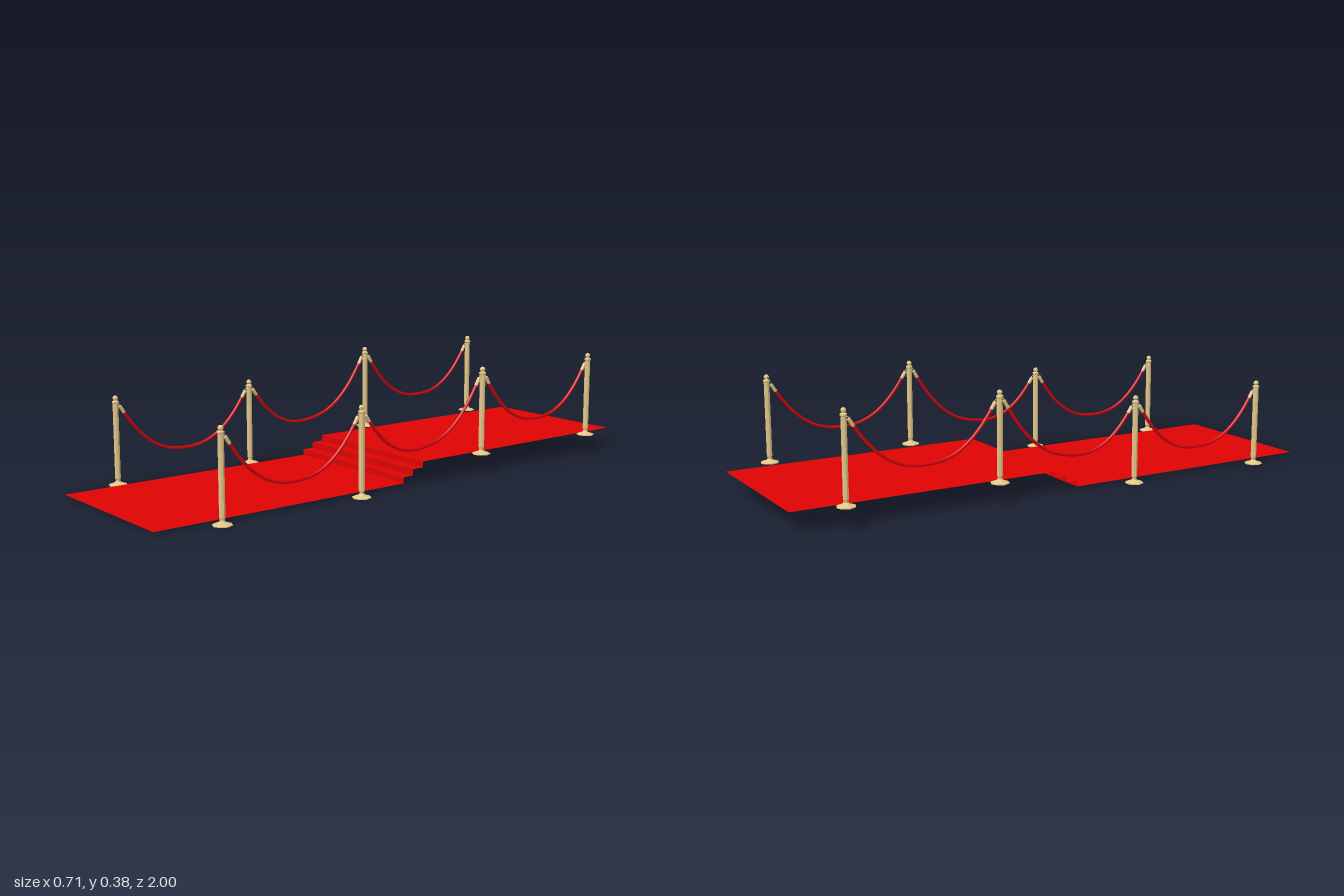
import * as THREE from 'three';

const brass = new THREE.MeshStandardMaterial({ color: 0xe2c688 });
brass.name = 'brass';
const carpetRed = new THREE.MeshStandardMaterial({ color: 0xde0303, side: THREE.DoubleSide });
carpetRed.name = 'carpet red';
const ropeRed = new THREE.MeshStandardMaterial({ color: 0xd8040c });
ropeRed.name = 'rope red';

const LOW = 0, HIGH = 0.073;
const POSTS = [[0.785, LOW], [0.247, LOW], [-0.29, HIGH], [-0.83, HIGH]]; // z, floor height
const POST_X = 0.325;
const CAP = 0.03; // share of a rope covered by each brass cap

function add(parent, name, geometry, material) {
  const mesh = new THREE.Mesh(geometry, material);
  mesh.name = name;
  parent.add(mesh);
  return mesh;
}

// Thin carpet sheet: stepped profile in z/y swept across x
function carpetGeometry() {
  const profile = [
    [1, 0.008], [0.034, 0.008], [0.034, 0.029], [-0.009, 0.029],
    [-0.009, 0.051], [-0.053, 0.051], [-0.053, 0.072], [-1, 0.072],
  ];
  const positions = [];
  for (let i = 0; i < profile.length - 1; i++) {
    const [z0, y0] = profile[i], [z1, y1] = profile[i + 1];
    const a = [-0.288, y0, z0], b = [0.286, y0, z0];
    const c = [0.286, y1, z1], d = [-0.288, y1, z1];
    positions.push(...a, ...b, ...c, ...a, ...c, ...d);
  }
  const geometry = new THREE.BufferGeometry();
  geometry.setAttribute('position', new THREE.Float32BufferAttribute(positions, 3));
  geometry.computeVertexNormals();
  return geometry;
}

// Turned post: flared foot, pole, collars and ball finial
function postGeometry() {
  const profile = [
    [0, 0], [0.032, 0], [0.032, 0.003], [0.012, 0.010], [0.008, 0.014],
    [0.008, 0.020], [0.010, 0.024], [0.010, 0.282],
    [0.012, 0.284], [0.012, 0.289], [0.008, 0.291], [0.006, 0.293],
    [0.009, 0.297], [0.009, 0.302], [0.006, 0.307], [0, 0.309],
  ].map(([r, y]) => new THREE.Vector2(r, y));
  const geometry = new THREE.LatheGeometry(profile, 8).toNonIndexed();
  geometry.computeVertexNormals();
  return geometry;
}

// Sagging line between two posts, limited to the range t0..t1
function sagCurve(from, to, t0, t1) {
  const zA = from[0] - 0.016, zB = to[0] + 0.016;
  const points = [];
  for (let i = 0; i <= 16; i++) {
    const t = t0 + (t1 - t0) * i / 16;
    const y = THREE.MathUtils.lerp(from[1], to[1], t) + 0.272
      - 0.175 * (1 - Math.pow(Math.abs(2 * t - 1), 2.4));
    points.push(new THREE.Vector3(0, y, THREE.MathUtils.lerp(zA, zB, t)));
  }
  return new THREE.CatmullRomCurve3(points);
}

// Closed disc at the tip of a rope cap
function capDisc(parent, curve, t, sign) {
  const disc = add(parent, 'capEnd', new THREE.CircleGeometry(0.0062, 6), brass);
  disc.position.copy(curve.getPoint(t));
  disc.quaternion.setFromUnitVectors(
    new THREE.Vector3(0, 0, 1), curve.getTangent(t).multiplyScalar(sign));
}

function ropeGroup(from, to) {
  const group = new THREE.Group();
  group.name = 'rope';
  const cord = sagCurve(from, to, CAP * 0.8, 1 - CAP * 0.8);
  add(group, 'ropeCord', new THREE.TubeGeometry(cord, 32, 0.0055, 6), ropeRed);
  for (const curve of [sagCurve(from, to, 0, CAP), sagCurve(from, to, 1 - CAP, 1)]) {
    add(group, 'ropeCap', new THREE.TubeGeometry(curve, 3, 0.0062, 6), brass);
    capDisc(group, curve, 0, -1);
    capDisc(group, curve, 1, 1);
  }
  // Small hooks joining the caps to the posts
  for (const [z, y] of [[from[0] - 0.012, from[1]], [to[0] + 0.012, to[1]]]) {
    const hook = add(group, 'hook', new THREE.TorusGeometry(0.005, 0.0015, 4, 8), brass);
    hook.position.set(0, y + 0.274, z);
    hook.rotation.y = Math.PI / 2;
  }
  return group;
}

export function createModel() {
  const model = new THREE.Group();
  model.name = 'carpetWithRopeBarriers';
  add(model, 'carpet', carpetGeometry(), carpetRed);

  const post = postGeometry();
  for (const side of [-1, 1]) {
    const row = new THREE.Group();
    row.name = side > 0 ? 'leftBarrier' : 'rightBarrier';
    row.position.x = side * POST_X;
    POSTS.forEach(([z, y], i) => {
      add(row, 'post', post, brass).position.set(0, y, z);
      if (i > 0) row.add(ropeGroup(POSTS[i - 1], POSTS[i]));
    });
    model.add(row);
  }
  return model;
}
